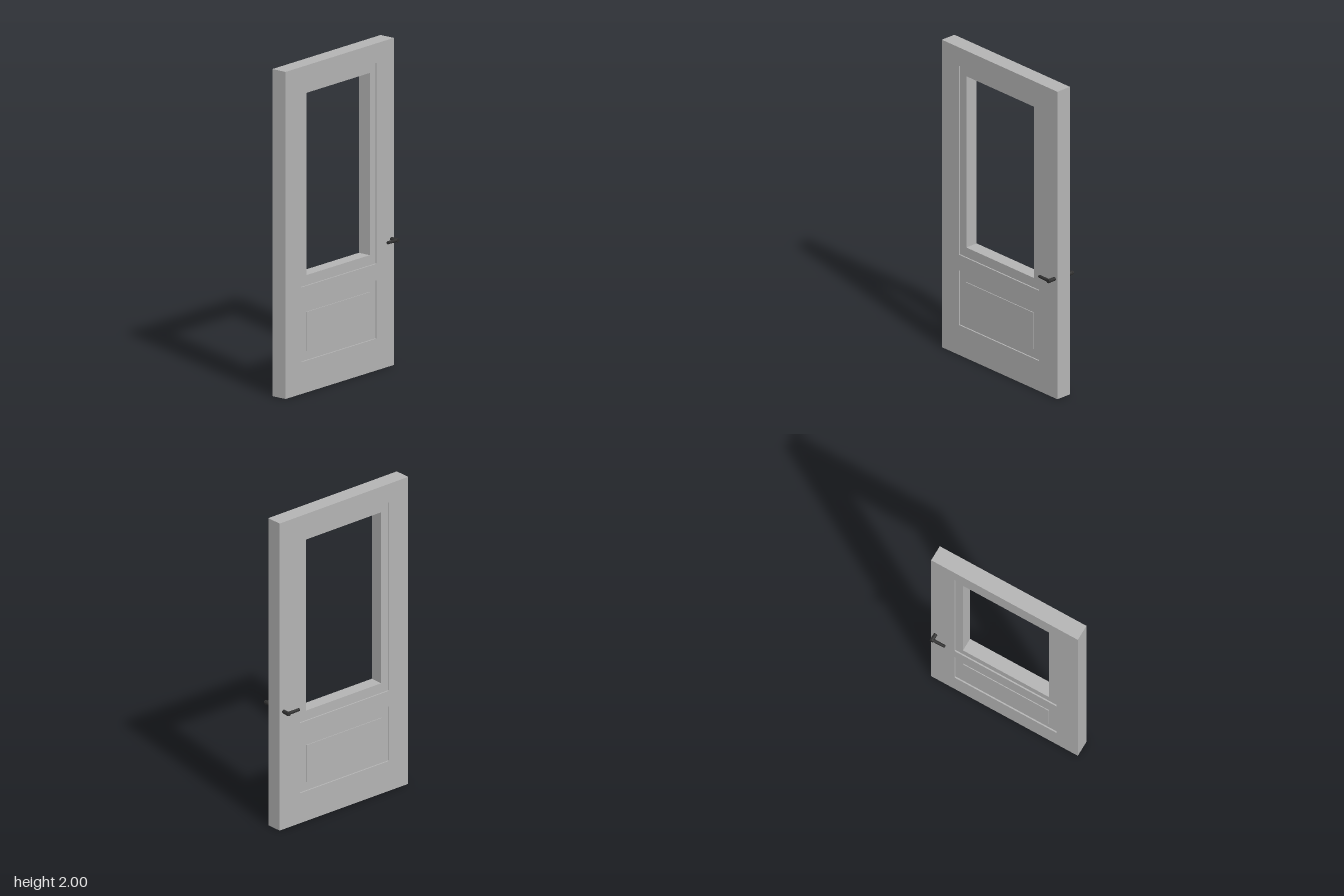
import * as THREE from 'three';

const BACK = -0.054, FRONT = 0.048; // door faces
const RECESS = 0.009;

// rectangles as [x0, y0, x1, y1]
const LEAF = [-0.5, 0, 0.5, 2];
const WINDOW_FRAME = [-0.353, 0.652, 0.34, 1.88];
const WINDOW = [-0.298, 0.714, 0.288, 1.828];
const LOWER_PANEL = [-0.353, 0.195, 0.34, 0.55];
const RAISED_FIELD = [-0.298, 0.252, 0.288, 0.49];

function trace(path, [x0, y0, x1, y1]) {
  path.moveTo(x0, y0);
  path.lineTo(x1, y0);
  path.lineTo(x1, y1);
  path.lineTo(x0, y1);
  path.closePath();
  return path;
}

// Flat board between two z planes, with rectangular holes
function board(name, outline, holes, z0, z1, material) {
  const shape = trace(new THREE.Shape(), outline);
  for (const hole of holes) shape.holes.push(trace(new THREE.Path(), hole));
  const geometry = new THREE.ExtrudeGeometry(shape, { depth: z1 - z0, bevelEnabled: false });
  geometry.translate(0, 0, z0);
  const mesh = new THREE.Mesh(geometry, material);
  mesh.name = name;
  return mesh;
}

// Round bar from point a to point b
function bar(name, a, b, ra, rb, material) {
  const from = new THREE.Vector3(...a), to = new THREE.Vector3(...b);
  const dir = to.clone().sub(from);
  const mesh = new THREE.Mesh(new THREE.CylinderGeometry(rb, ra, dir.length(), 16), material);
  mesh.position.copy(from).add(to).multiplyScalar(0.5);
  mesh.quaternion.setFromUnitVectors(new THREE.Vector3(0, 1, 0), dir.normalize());
  mesh.name = name;
  return mesh;
}

// Lever handle: stem out of the face, then a lever towards the door's middle
function handle(name, x, y, face, side, reach, material) {
  const group = new THREE.Group();
  group.name = name;
  const end = face + side * reach;
  const axis = end - side * 0.0105;
  group.add(
    bar('handleStem', [x, y, face - side * 0.01], [x, y, end], 0.0115, 0.0125, material),
    bar('handleLever', [x + 0.01, y, axis], [x - 0.086, y + 0.001, axis], 0.0105, 0.009, material)
  );
  return group;
}

export function createModel() {
  const paint = new THREE.MeshStandardMaterial({ color: 0xb4b4b4 });
  paint.name = 'greyPaint';
  const metal = new THREE.MeshStandardMaterial({ color: 0x303030 });
  metal.name = 'darkMetal';

  const door = new THREE.Group();
  door.name = 'door';

  // Stiles and rails, with the sunken window surround and lower panel
  const low = BACK + RECESS, high = FRONT - RECESS;
  door.add(
    board('stilesAndRails', LEAF, [WINDOW_FRAME, LOWER_PANEL], BACK, FRONT, paint),
    board('windowSurround', WINDOW_FRAME, [WINDOW], low, high, paint),
    board('lowerPanel', LOWER_PANEL, [], low, high, paint),
    board('raisedField', RAISED_FIELD, [], low - 0.005, high + 0.005, paint)
  );

  // Handles on both faces
  door.add(
    handle('frontHandle', 0.476, 0.776, FRONT, 1, 0.054, metal),
    handle('backHandle', 0.469, 0.767, BACK, -1, 0.051, metal)
  );
  return door;
}
